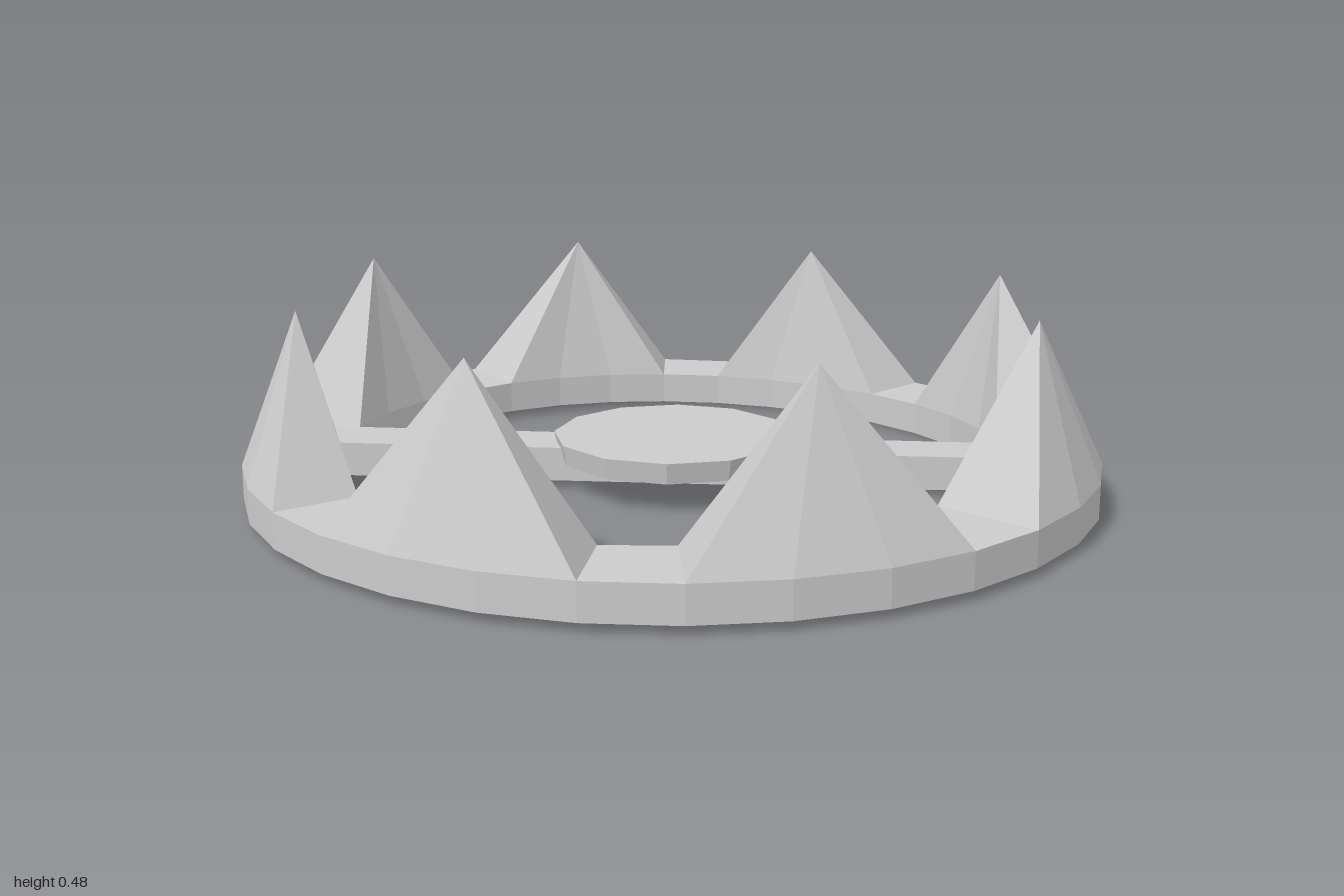
import * as THREE from 'three';

const SEGMENTS = 32; // ring sides; every 4 sides hold one flat gap and one tooth
const BOTTOM = 0.02, TOP = 0.10;
const TOOTH_HEIGHTS = [0.465, 0.465, 0.465, 0.465, 0.485, 0.47, 0.45, 0.46];

const angleOf = (i) => (i * Math.PI * 2) / SEGMENTS;

// The ring sags slightly towards its back left
const sag = (a) => 0.02 * Math.max(0, Math.cos(a + 0.75)) ** 2;

// Points on the outer and inner rim at side i
function outer(i, y) {
  const a = angleOf(i);
  return [Math.cos(a), y - sag(a), Math.sin(a)];
}
function inner(i, y) {
  const a = angleOf(i);
  const r = 0.787 - 0.018 * Math.sin(2 * a);
  return [r * Math.cos(a) - 0.008, y - sag(a), r * Math.sin(a)];
}

// Collects flat polygons (counter-clockwise from outside) into one mesh
function facetMesh(name, polygons, material) {
  const positions = [];
  for (const p of polygons) {
    for (let k = 1; k < p.length - 1; k++) positions.push(...p[0], ...p[k], ...p[k + 1]);
  }
  const geometry = new THREE.BufferGeometry();
  geometry.setAttribute('position', new THREE.Float32BufferAttribute(positions, 3));
  geometry.computeVertexNormals();
  const mesh = new THREE.Mesh(geometry, material);
  mesh.name = name;
  return mesh;
}

export function createModel() {
  const group = new THREE.Group();
  group.name = 'jawTrap';
  const material = new THREE.MeshStandardMaterial({ color: 0xcccccc, flatShading: true });

  // Ring: outer wall, inner wall, underside, and a top only in the gaps
  const ring = [];
  for (let i = 0; i < SEGMENTS; i++) {
    const j = i + 1;
    ring.push([outer(i, BOTTOM), outer(i, TOP), outer(j, TOP), outer(j, BOTTOM)]);
    ring.push([outer(i, BOTTOM), outer(j, BOTTOM), inner(j, BOTTOM), inner(i, BOTTOM)]);
    if (i % 16 !== 0) { // the crossbar joins the ring at sides 0 and 16
      ring.push([inner(j, BOTTOM), inner(j, TOP), inner(i, TOP), inner(i, BOTTOM)]);
    }
    if (i % 4 === 0) ring.push([inner(i, TOP), inner(j, TOP), outer(j, TOP), outer(i, TOP)]);
  }
  group.add(facetMesh('ring', ring, material));

  // Teeth: each a fan from a three-side stretch of the ring up to a point
  const teeth = new THREE.Group();
  teeth.name = 'teeth';
  TOOTH_HEIGHTS.forEach((height, t) => {
    const first = t * 4 + 1;
    const steps = [0, 1, 2, 3].map((k) => first + k);
    const base = [
      ...steps.map((i) => inner(i, TOP)),
      ...steps.reverse().map((i) => outer(i, TOP)),
    ];
    const a = angleOf(first + 1.5);
    const tip = [0.867 * Math.cos(a), height, 0.867 * Math.sin(a)];
    const faces = base.map((p, k) => [p, base[(k + 1) % base.length], tip]);
    teeth.add(facetMesh('tooth', faces, material));
  });
  group.add(teeth);

  // Crossbar between two opposite gaps, open where it meets the ring
  const corners = [16, 1, 0, 17];
  const low = corners.map((i) => inner(i, BOTTOM));
  const high = corners.map((i) => inner(i, TOP));
  group.add(facetMesh('crossbar', [
    high,
    [...low].reverse(),
    [low[0], low[1], high[1], high[0]],
    [low[2], low[3], high[3], high[2]],
  ], material));

  // Trigger plate resting on the crossbar
  const plate = new THREE.Mesh(new THREE.CylinderGeometry(0.285, 0.275, 0.05, 12), material);
  plate.name = 'triggerPlate';
  plate.position.set(0, 0.096, 0);
  plate.rotation.y = -0.07;
  group.add(plate);

  return group;
}
